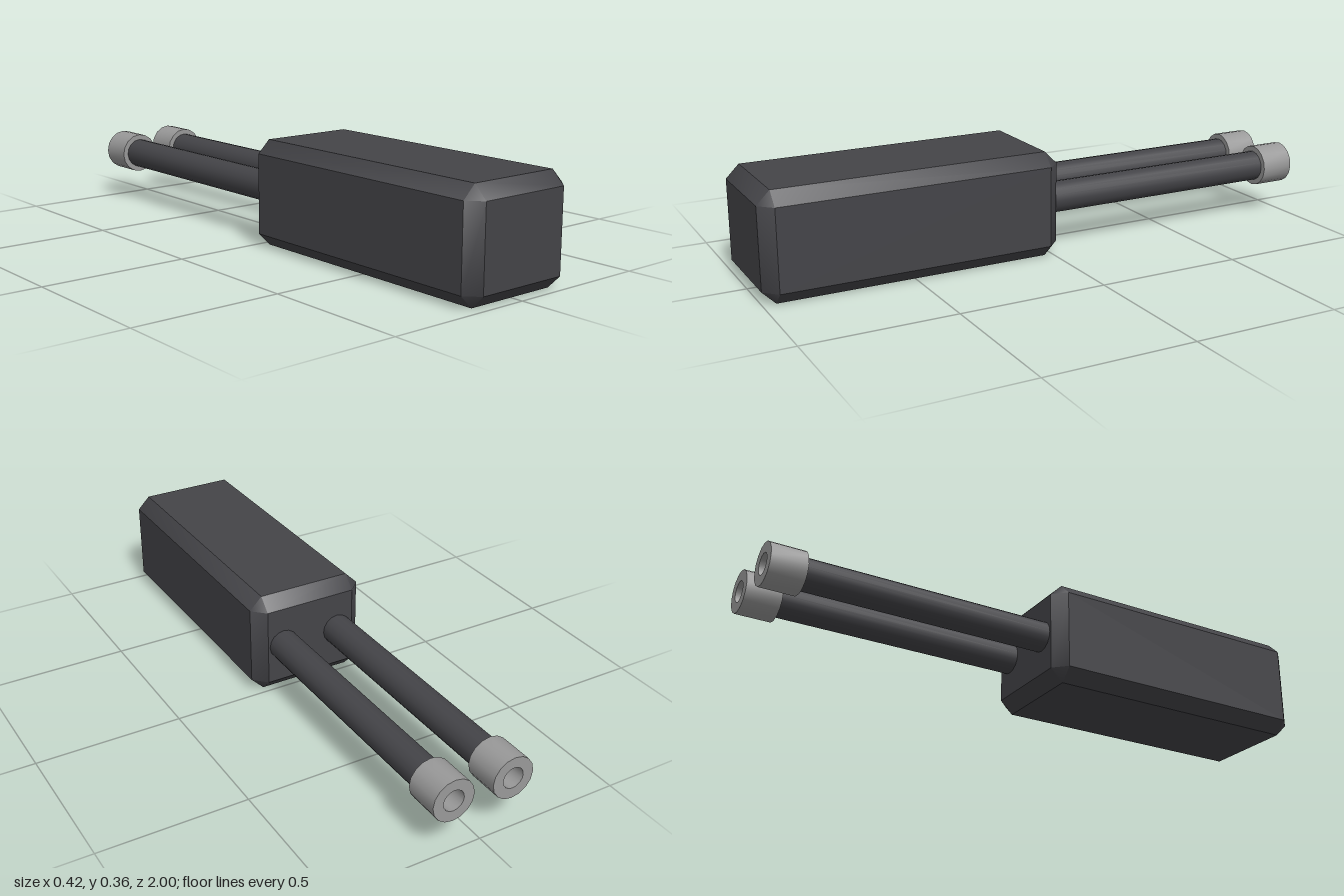
import * as THREE from 'three';
import { toCreasedNormals } from 'three/addons/utils/BufferGeometryUtils.js';
import { ConvexGeometry } from 'three/addons/geometries/ConvexGeometry.js';

const ROD_X = 0.105, ROD_Y = 0.18;

// Box with a single flat chamfer on every edge, centred on the origin
function chamferedBox(w, h, d, c) {
  const points = [];
  for (const sx of [-1, 1]) for (const sy of [-1, 1]) for (const sz of [-1, 1]) {
    for (let full = 0; full < 3; full++) {
      const p = [w / 2, h / 2, d / 2].map((v, i) => (i === full ? v : v - c));
      points.push(new THREE.Vector3(p[0] * sx, p[1] * sy, p[2] * sz));
    }
  }
  // chamfers blend into the corners, the big faces stay crisp
  return toCreasedNormals(new ConvexGeometry(points), 0.7);
}

export function createModel() {
  const model = new THREE.Group();
  model.name = 'twinRodBlock';

  const darkPlastic = new THREE.MeshStandardMaterial({ color: 0x444448 });
  darkPlastic.name = 'dark plastic';
  const greyMetal = new THREE.MeshStandardMaterial({ color: 0x999999 });
  greyMetal.name = 'grey metal';

  const add = (name, geometry, material, x, y, z) => {
    const mesh = new THREE.Mesh(geometry, material);
    mesh.name = name;
    mesh.position.set(x, y, z);
    model.add(mesh);
  };

  // Main block
  add('body', chamferedBox(0.417, 0.36, 1.015, 0.044), darkPlastic, 0, 0.18, 0.4925);

  // Rod running backwards out of the block
  const rod = new THREE.CylinderGeometry(0.053, 0.053, 0.91, 16);
  rod.rotateX(-Math.PI / 2);

  // End cap with a blind hole in its back face
  const profile = [[0.03, 0], [0.072, 0], [0.072, 0.12], [0.036, 0.12], [0.036, 0.04], [0, 0.04]]
    .map(([r, y]) => new THREE.Vector2(r, y));
  const cap = toCreasedNormals(new THREE.LatheGeometry(profile, 16), 0.7);
  cap.rotateX(-Math.PI / 2);

  for (const [side, s] of [['left', 1], ['right', -1]]) {
    add(side + 'Rod', rod, darkPlastic, s * ROD_X, ROD_Y, -0.455);
    add(side + 'EndCap', cap, greyMetal, s * ROD_X, ROD_Y, -0.88);
  }
  return model;
}
